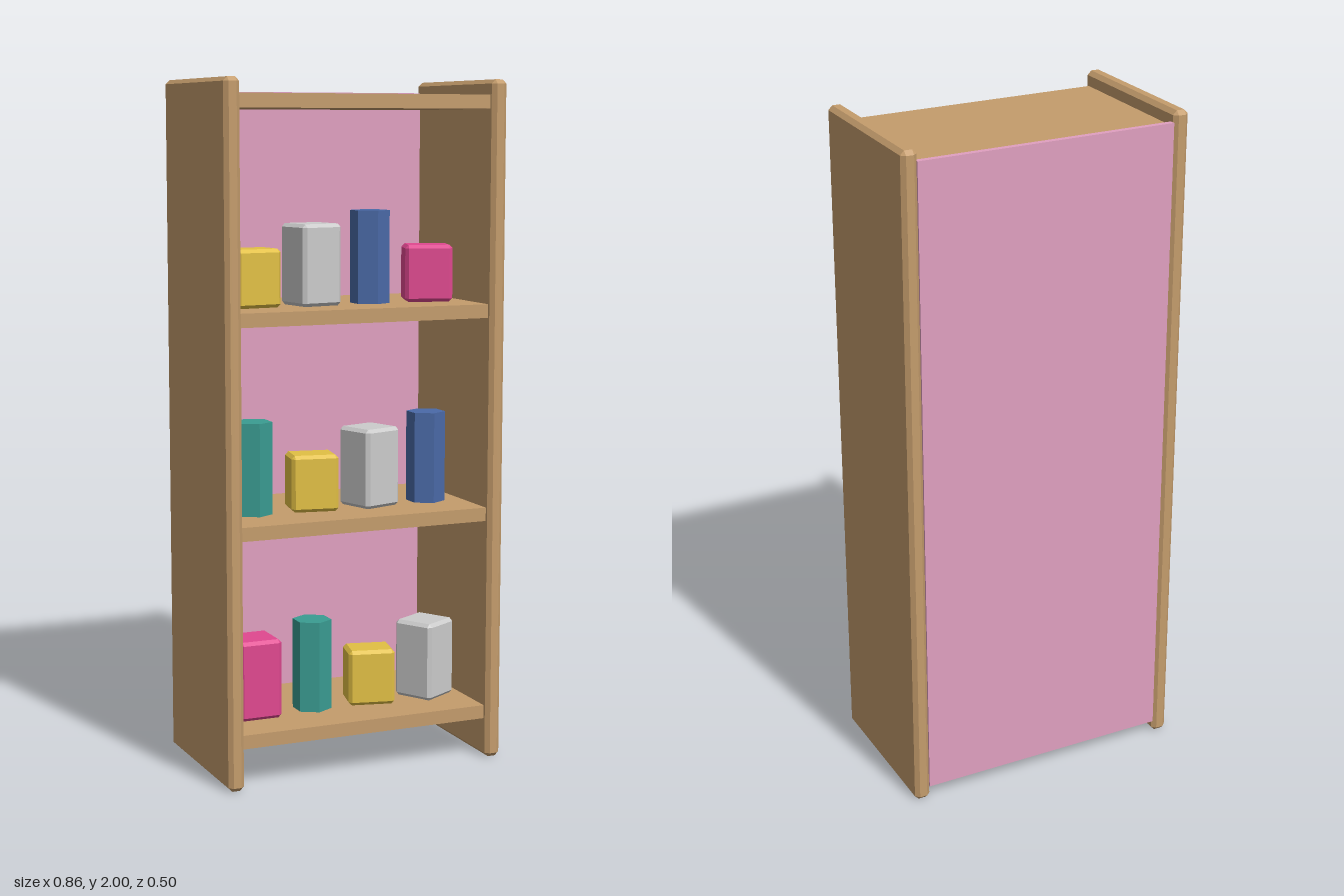
import * as THREE from 'three';
import { ConvexGeometry } from 'three/addons/geometries/ConvexGeometry.js';

const mat = (color) => new THREE.MeshStandardMaterial({ color, flatShading: true });
const M = {
  wood: mat(0xc49c6c), back: mat(0xe0a0c0), yellow: mat(0xe2c044), grey: mat(0xcccccc),
  blue: mat(0x4a6aa8), teal: mat(0x3a9c92), pink: mat(0xe04890),
};

// Box with every edge cut by a flat chamfer c
function chamferBox(w, h, d, c) {
  const points = [];
  for (const x of [-w / 2, w / 2]) for (const y of [-h / 2, h / 2]) for (const z of [-d / 2, d / 2]) {
    const ix = x - Math.sign(x) * c, iy = y - Math.sign(y) * c, iz = z - Math.sign(z) * c;
    points.push(new THREE.Vector3(x, iy, iz), new THREE.Vector3(ix, y, iz), new THREE.Vector3(ix, iy, z));
  }
  return new ConvexGeometry(points);
}

export function createModel() {
  const model = new THREE.Group();
  model.name = 'shelfUnit';
  const add = (name, geometry, material, x, y, z, turn = 0) => {
    const mesh = new THREE.Mesh(geometry, material);
    mesh.name = name;
    mesh.position.set(x, y, z);
    mesh.rotation.y = THREE.MathUtils.degToRad(turn);
    model.add(mesh);
  };

  // Side panels
  const panel = chamferBox(0.047, 2, 0.5, 0.012);
  add('leftPanel', panel, M.wood, 0.4085, 1, 0);
  add('rightPanel', panel, M.wood, -0.4085, 1, 0);

  // Back panel
  add('backPanel', new THREE.BoxGeometry(0.772, 1.931, 0.017), M.back, 0, 1.0025, -0.2365);

  // Three shelves and the top board
  const board = new THREE.BoxGeometry(0.772, 0.04, 0.46);
  [0.137, 0.737, 1.337, 1.937].forEach((y, i) =>
    add(i < 3 ? 'shelf' : 'topBoard', board, M.wood, 0, y, 0));

  // Goods: tall box, short box and six-sided jar, each with its height
  const kinds = {
    tallBox: [chamferBox(0.13, 0.235, 0.13, 0.01), 0.235],
    shortBox: [chamferBox(0.14, 0.167, 0.11, 0.01), 0.167],
    jar: [new THREE.CylinderGeometry(0.058, 0.058, 0.27, 6), 0.27],
  };
  const rows = [
    [0.157, [['tallBox', 'pink', 0], ['jar', 'teal', 0], ['shortBox', 'yellow', -13], ['tallBox', 'grey', 30]]],
    [0.757, [['jar', 'teal', 0], ['shortBox', 'yellow', -10], ['tallBox', 'grey', 18], ['jar', 'blue', 0]]],
    [1.357, [['shortBox', 'yellow', 6], ['tallBox', 'grey', 10], ['jar', 'blue', 0], ['shortBox', 'pink', -18]]],
  ];
  for (const [y, items] of rows) items.forEach(([kind, color, turn], i) => {
    const [geometry, height] = kinds[kind];
    add(kind, geometry, M[color], -0.278 + i * 0.185, y + height / 2, 0.045, turn);
  });
  return model;
}
